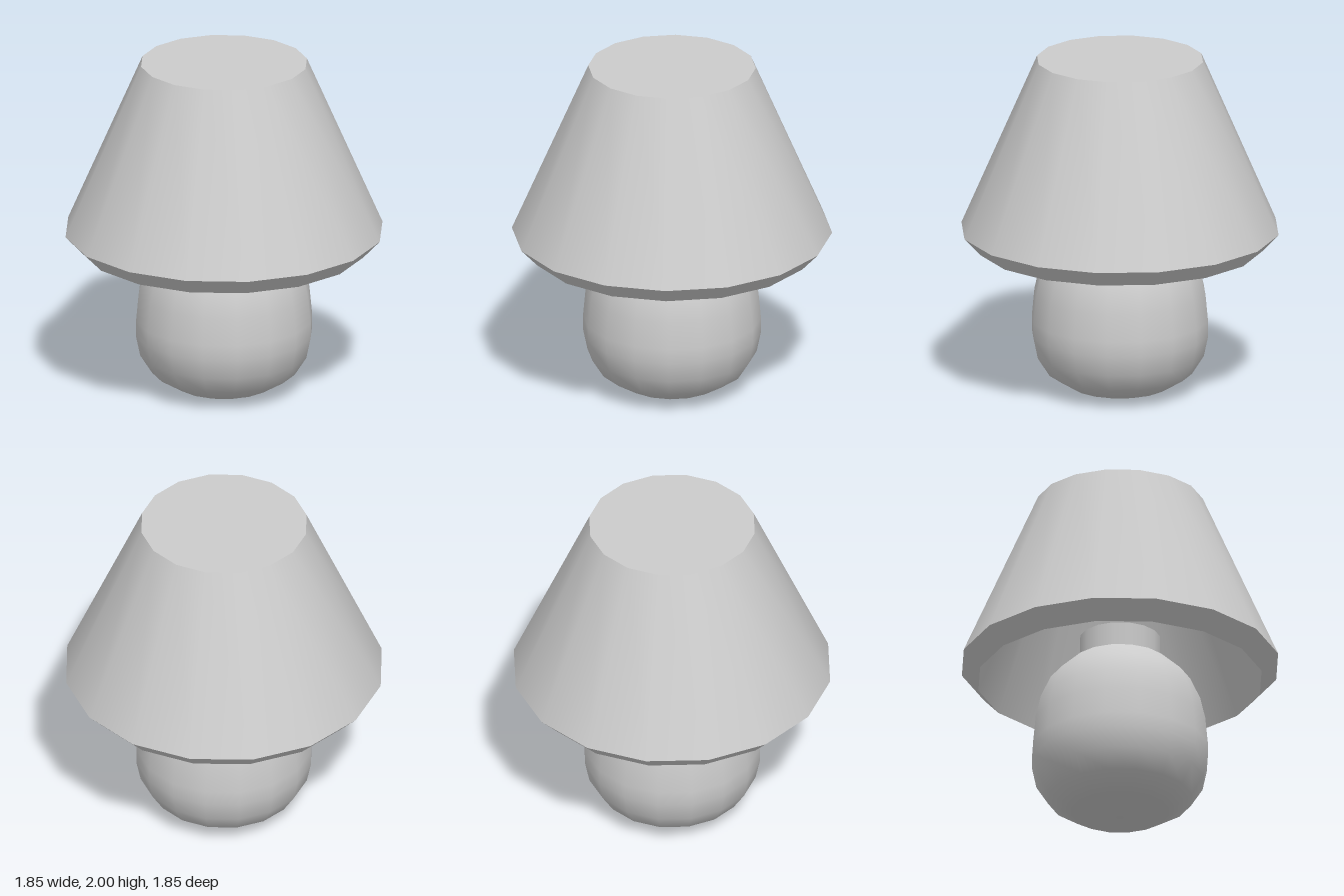
import * as THREE from 'three';

const SIDES = 16;
const material = new THREE.MeshStandardMaterial({ color: 0xcccccc });

// Smooth surface of revolution through [radius, height] points, listed bottom to top on outer faces
function turned(name, points) {
  const profile = points.map(([r, y]) => new THREE.Vector2(r, y));
  const mesh = new THREE.Mesh(new THREE.LatheGeometry(profile, SIDES), material);
  mesh.name = name;
  return mesh;
}

export function createModel() {
  const lamp = new THREE.Group();
  lamp.name = 'tableLamp';

  // Rounded egg-shaped base
  lamp.add(turned('base', [
    [0, 0], [0.28, 0.035], [0.42, 0.12], [0.49, 0.23], [0.515, 0.35], [0.515, 0.44],
    [0.5, 0.6], [0.47, 0.73], [0.41, 0.86], [0.28, 0.98], [0, 1.04],
  ]));

  // Short capped neck rising into the shade
  const neck = new THREE.Mesh(new THREE.CylinderGeometry(0.235, 0.235, 0.2, SIDES), material);
  neck.position.y = 1.04;
  neck.name = 'neck';
  lamp.add(neck);

  // Shade: each band is separate so its edges stay sharp
  const shade = new THREE.Group();
  shade.name = 'shade';
  shade.add(
    turned('shadeRim', [[0.83, 0.875], [0.927, 0.978]]),
    turned('shadeWall', [[0.927, 0.978], [0.485, 2]]),
    turned('shadeTop', [[0.485, 2], [0, 2]]),
    turned('shadeLining', [[0.41, 1.95], [0.83, 0.875]]),
    turned('shadeCeiling', [[0, 1.95], [0.41, 1.95]]),
  );
  lamp.add(shade);
  return lamp;
}
